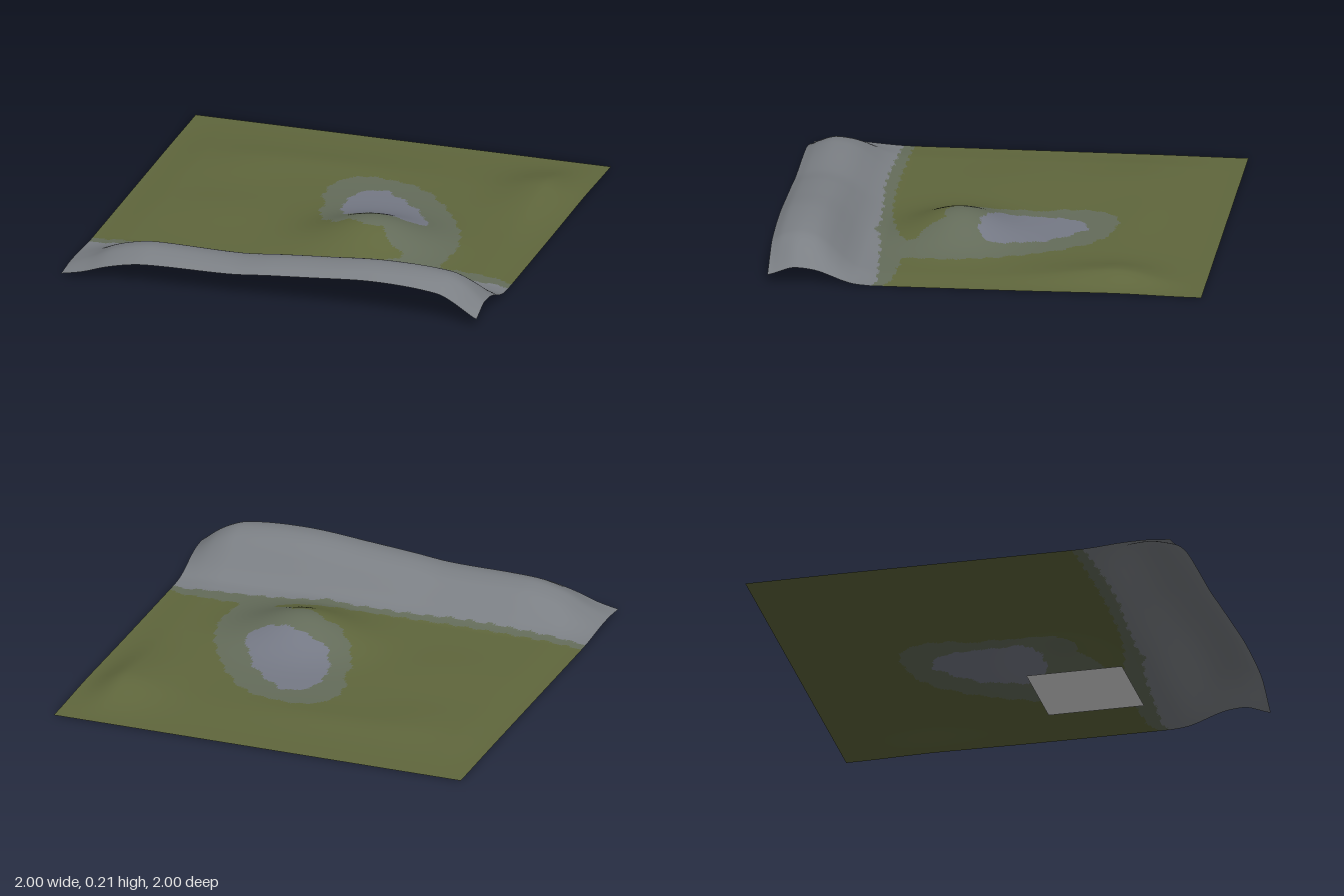
import * as THREE from 'three';

const mat = (name, color) =>
  new THREE.MeshStandardMaterial({ name, color, side: THREE.DoubleSide });

// smooth curve through [t, value] points
function curve(pts, t) {
  const n = pts.length;
  let i = 0;
  while (i < n - 2 && t > pts[i + 1][0]) i++;
  const slope = (k) => {
    const a = pts[Math.max(k - 1, 0)], b = pts[Math.min(k + 1, n - 1)];
    return (b[1] - a[1]) / (b[0] - a[0]);
  };
  const [t0, v0] = pts[i], [t1, v1] = pts[i + 1], d = t1 - t0;
  const u = Math.min(Math.max((t - t0) / d, 0), 1), u2 = u * u, u3 = u2 * u;
  return (2 * u3 - 3 * u2 + 1) * v0 + (u3 - 2 * u2 + u) * d * slope(i)
    + (3 * u2 - 2 * u3) * v1 + (u3 - u2) * d * slope(i + 1);
}

function inside(poly, x, z) {
  let hit = false;
  for (let i = 0, j = poly.length - 1; i < poly.length; j = i++) {
    const [xi, zi] = poly[i], [xj, zj] = poly[j];
    if ((zi > z) !== (zj > z) && x < ((xj - xi) * (z - zi)) / (zj - zi) + xi) hit = !hit;
  }
  return hit;
}

// front ridge: crest height along x, and cross-section along z
const crest = [[-1, 0.018], [-0.9, 0.055], [-0.8, 0.105], [-0.7, 0.135], [-0.6, 0.148], [-0.2, 0.145],
  [0, 0.165], [0.2, 0.182], [0.5, 0.205], [0.8, 0.192], [0.9, 0.155], [1, 0.078]];
const section = [[0.53, 0], [0.6, 0.08], [0.65, 0.25], [0.7, 0.5], [0.75, 0.75], [0.8, 0.92],
  [0.87, 1], [0.95, 0.93], [1, 0.77]];
const frontDrop = [[-1, 0.35], [-0.6, 0.1], [0, 0], [0.8, 0.03], [1, 0.35]];

// rounded mounds: x, z, height, spread in x, spread in z
const mounds = [
  [0.24, 0.2, 0.115, 0.19, 0.165],
  [0.82, -0.65, 0.052, 0.14, 0.27],
  [-0.6, -0.5, 0.012, 0.16, 0.16],
  [-0.2, -0.62, 0.01, 0.25, 0.1],
  [-0.5, 0.03, 0.01, 0.2, 0.17],
];

function height(x, z) {
  const fade = (v, w) => THREE.MathUtils.smoothstep(1 - Math.abs(v), 0, w);
  let soft = 0.012;
  for (const [cx, cz, h, sx, sz] of mounds)
    soft += h * Math.exp(-(((x - cx) / sx) ** 2 + ((z - cz) / sz) ** 2) / 2);
  const sides = 0.2 + 0.8 * fade(x, 0.2);
  let y = soft * sides * (z < 0 ? fade(z, 0.45) : 1 - THREE.MathUtils.smoothstep(z, 0.6, 0.85));
  if (z > 0.53) {
    const drop = 1 - curve(frontDrop, x) * THREE.MathUtils.smoothstep(z, 0.87, 1);
    y += curve(crest, x) * curve(section, z) * drop;
  }
  return Math.max(y, 0);
}

// ground colour borders
const rockEdge = [[-1, 0.59], [-0.4, 0.605], [-0.1, 0.585], [0.2, 0.57], [0.26, 0.585], [0.32, 0.56],
  [0.45, 0.54], [0.7, 0.52], [0.95, 0.505], [1, 0.52]];
const mossEdge = [[-1, 0.54], [-0.4, 0.55], [-0.05, 0.535], [0.2, 0.5], [0.4, 0.45], [0.5, 0.42],
  [0.65, 0.42], [0.9, 0.435], [1, 0.47]];
const mossPatch = [[-0.15, -0.36], [-0.12, -0.44], [-0.05, -0.5], [0.05, -0.515], [0.2, -0.49],
  [0.32, -0.42], [0.42, -0.3], [0.52, -0.15], [0.6, 0], [0.65, 0.2], [0.63, 0.46], [0.3, 0.5],
  [0.38, 0.45], [0.44, 0.42], [0.45, 0.38], [0.38, 0.35], [0.3, 0.25], [0.22, 0.27], [0.15, 0.21],
  [0.05, 0.2], [-0.02, 0.12], [-0.1, -0.05], [-0.1, -0.17], [-0.14, -0.22]];
const stonePatch = [[-0.02, -0.24], [0, -0.31], [0.05, -0.37], [0.12, -0.385], [0.22, -0.31],
  [0.33, -0.2], [0.4, -0.08], [0.46, 0.03], [0.42, 0.08], [0.35, 0.1], [0.2, 0.08], [0.05, 0.03],
  [-0.01, -0.1]];

function region(x, z) {
  const wx = x + 0.006 * Math.sin(z * 70), wz = z + 0.006 * Math.sin(x * 63);
  if (wz > curve(rockEdge, x)) return 3;
  if (inside(stonePatch, wx, wz)) return 2;
  if (wz > curve(mossEdge, x) || inside(mossPatch, wx, wz)) return 1;
  return 0;
}

export function createModel() {
  const group = new THREE.Group();
  group.name = 'terrain';
  const ground = [mat('grass green', 0x5f663c), mat('mossy grey', 0x646c5a),
    mat('blue grey stone', 0x757985), mat('ridge rock grey', 0x7b7f84)];

  // height field, one geometry group per ground colour
  const geo = new THREE.PlaneGeometry(2, 2, 160, 160).rotateX(-Math.PI / 2);
  const pos = geo.attributes.position;
  for (let i = 0; i < pos.count; i++) pos.setY(i, height(pos.getX(i), pos.getZ(i)));
  const lists = ground.map(() => []);
  const index = geo.index.array;
  for (let i = 0; i < index.length; i += 3) {
    const tri = [index[i], index[i + 1], index[i + 2]];
    const mid = (get) => tri.reduce((s, v) => s + get(v), 0) / 3;
    lists[region(mid((v) => pos.getX(v)), mid((v) => pos.getZ(v)))].push(...tri);
  }
  geo.setIndex(lists.flat());
  let start = 0;
  lists.forEach((list, m) => {
    geo.addGroup(start, list.length, m);
    start += list.length;
  });
  geo.computeVertexNormals();
  const land = new THREE.Mesh(geo, ground);
  land.name = 'landSurface';
  group.add(land);

  // flat square under the mound
  const slab = new THREE.Mesh(new THREE.PlaneGeometry(0.44, 0.45).rotateX(-Math.PI / 2),
    mat('pale grey', 0xe0e0e0));
  slab.name = 'basePlate';
  slab.position.set(0.5, 0.004, 0.245);
  group.add(slab);
  return group;
}
